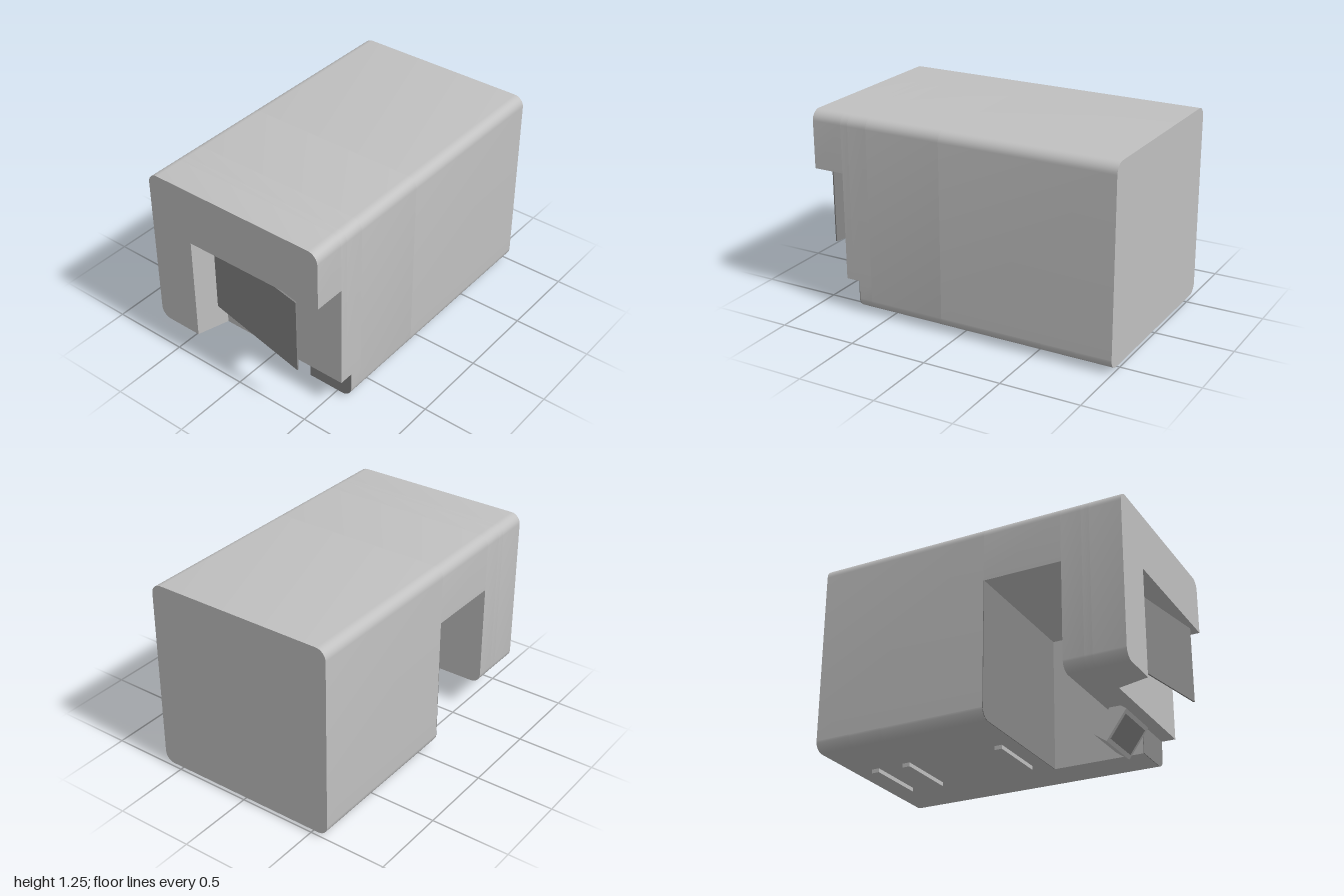
import * as THREE from 'three';
import { toCreasedNormals } from 'three/addons/utils/BufferGeometryUtils.js';

const W = 0.615, TOP = 1.255, BASE = 0.025, R = 0.065;
const LIP = 0.205;   // underside of the front head
const ROOF = 0.89;   // ceiling of the side bay and of the front recess
const BAY = 0.31;    // inner wall of the side bay
const K = 0.4477;    // control point ratio for a round corner

// Closed outline from [x, y, cornerRadius] points, counter-clockwise
function outline(points) {
  const shape = new THREE.Shape();
  const n = points.length;
  points.forEach(([x, y, r = 0], i) => {
    const toward = ([px, py], d) => {
      const len = Math.hypot(px - x, py - y);
      return [x + (px - x) / len * d, y + (py - y) / len * d];
    };
    const prev = points[(i + n - 1) % n], next = points[(i + 1) % n];
    const a = toward(prev, r);
    if (i === 0) shape.moveTo(...a); else shape.lineTo(...a);
    if (r) shape.bezierCurveTo(...toward(prev, r * K), ...toward(next, r * K), ...toward(next, r));
  });
  shape.closePath();
  return shape;
}

export function createModel() {
  const group = new THREE.Group();
  const shell = new THREE.MeshStandardMaterial({ color: 0xc0c0c0 });
  shell.name = 'light grey shell';
  const panel = new THREE.MeshStandardMaterial({ color: 0x868686 });
  panel.name = 'mid grey panel';

  const add = (name, geometry, material) => {
    const mesh = new THREE.Mesh(geometry, material);
    mesh.name = name;
    group.add(mesh);
    return mesh;
  };
  // Section of the body running from z0 to z1, with an optional vertex rule
  const section = (name, points, z0, z1, material = shell, rule) => {
    const geo = new THREE.ExtrudeGeometry(outline(points), { depth: z1 - z0, bevelEnabled: false, curveSegments: 8 });
    geo.translate(0, 0, z0);
    if (rule) rule(geo.attributes.position);
    return add(name, toCreasedNormals(geo, 0.6), material);
  };

  // Rear body above the base covers
  const SEAM = 0.09;
  section('rearBody', [[-W, SEAM], [W, SEAM], [W, TOP, R], [-W, TOP, R]], -1, 0.12);

  // Base covers, each with a foot rail
  [[-1, -0.77, -0.85], [-0.77, -0.55, -0.63], [-0.55, 0.12, 0]].forEach(([z0, z1, foot]) => {
    section('baseCover', [[-W, BASE, R - 0.001], [W, BASE, R - 0.001], [W, SEAM], [-W, SEAM]], z0, z1);
    add('footRail', new THREE.BoxGeometry(0.4, 0.03, 0.05), shell).position.set(0, 0.015, foot);
  });

  // Bay section: roof and one side wall, open at the other side and below
  section('bayWall', [[BAY, BASE], [W, BASE, R], [W, TOP, R], [-W, TOP, R], [-W, ROOF], [BAY, ROOF]], 0.12, 0.62);
  section('bayBackPanel', [[-W, BASE, R], [BAY, BASE], [BAY, ROOF], [-W, ROOF]], 0.12, 0.124, panel);

  // Front wall and the plate behind the recess
  const head = [[-W, LIP, R], [W, LIP], [W, TOP, R], [-W, TOP, R]];
  section('frontWall', head, 0.62, 0.75);
  section('recessPlate', head, 0.75, 0.8);

  // Lower front corner under the head
  const corner = [[BAY, BASE], [W, BASE, R], [W, LIP], [BAY, LIP]];
  section('lowerCorner', corner, 0.62, 0.707);
  section('lowerCornerPanel', corner, 0.707, 0.711, panel);

  // Front frame, its recess wall splayed toward the back
  section('frontFrame',
    [[-W, LIP, R], [-0.32, LIP], [-0.32, ROOF], [W, ROOF], [W, TOP, R], [-W, TOP, R]],
    0.8, 1, shell, (pos) => {
      for (let i = 0; i < pos.count; i++) {
        if (Math.abs(pos.getX(i) + 0.32) < 1e-4 && pos.getZ(i) < 0.9) pos.setX(i, -0.26);
      }
    });

  // Tilted screen hinged on the splayed wall
  const screen = add('screen', new THREE.BoxGeometry(0.746, 0.495, 0.009), panel);
  screen.position.set(0.0875, 0.6025, 0.924);
  screen.rotation.y = -Math.atan2(0.135, 0.735);

  // Tilted reader under the head, its window facing forward and down
  const reader = new THREE.Group();
  reader.name = 'reader';
  const housing = new THREE.Mesh(new THREE.BoxGeometry(0.338, 0.222, 0.1), shell);
  housing.name = 'readerHousing';
  housing.position.z = -0.05;
  const glass = new THREE.Mesh(new THREE.BoxGeometry(0.29, 0.17, 0.006), panel);
  glass.name = 'readerWindow';
  reader.add(housing, glass);
  reader.position.set(0.14, 0.09, 0.68);
  reader.rotation.x = Math.atan2(0.13, 0.18);
  group.add(reader);

  return group;
}
